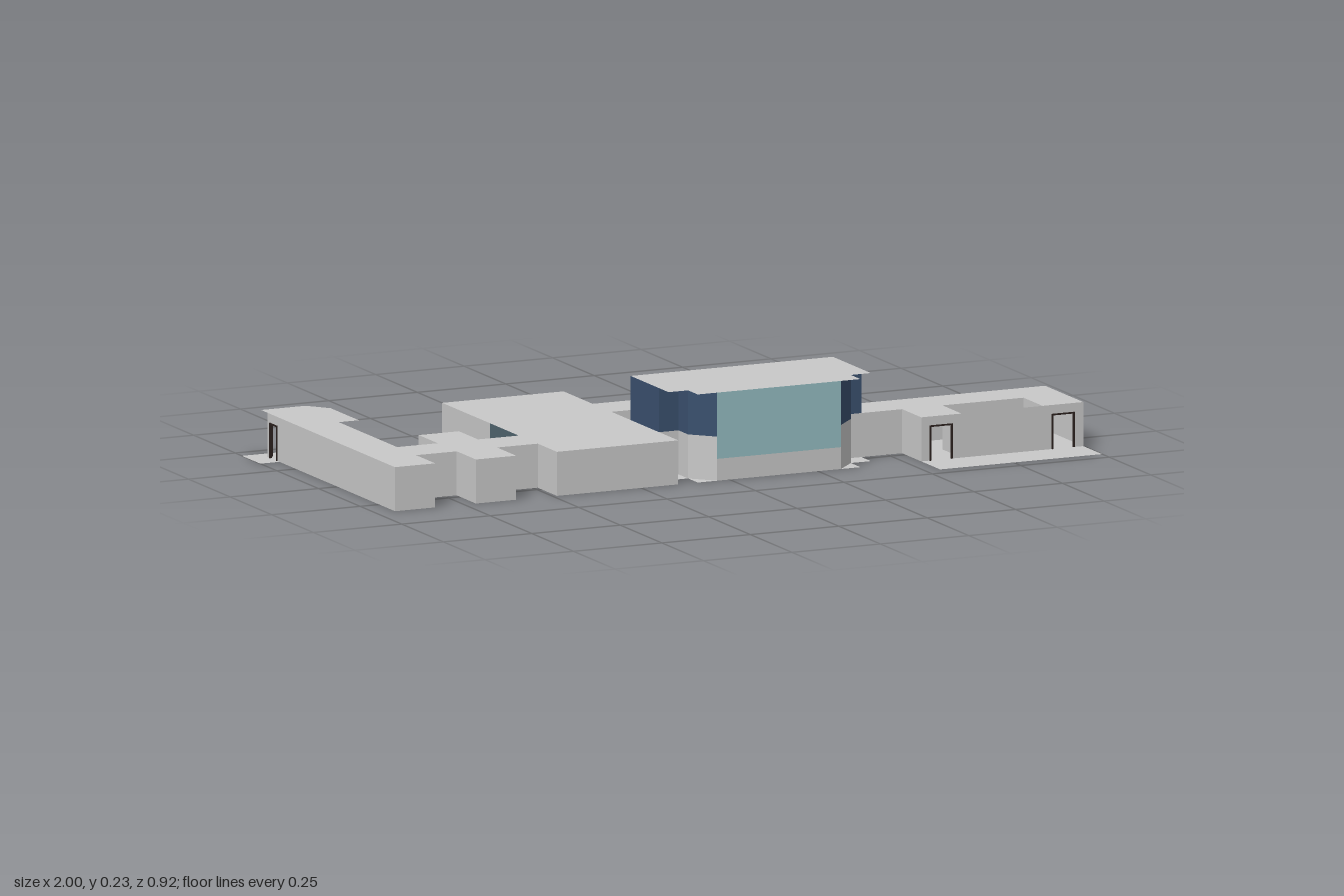
import * as THREE from 'three';

const mat = (name, color) => {
  const m = new THREE.MeshStandardMaterial({ color, side: THREE.DoubleSide });
  m.name = name;
  return m;
};

export function createModel() {
  const model = new THREE.Group();
  model.name = 'buildingComplex';
  const concrete = mat('light grey concrete', 0xc8c8c8);
  const navy = mat('navy cladding', 0x3a506e);
  const glass = mat('pale teal glass', 0x94bcc1);
  const darkGlass = mat('dark slate glass', 0x4f646e);
  const darkFloor = mat('dark floor', 0x837e76);
  const frameDark = mat('dark door frame', 0x2b211e);

  const H = 0.115, TOP = 0.23, DOOR = 0.092;

  // Vertical wall sheets along a path of [x, z]; doors = { segment: [[from, to], ...] }
  function walls(name, path, y0, y1, material, doors = {}) {
    const group = new THREE.Group();
    group.name = name;
    for (let i = 0; i < path.length - 1; i++) {
      const [ax, az] = path[i], [bx, bz] = path[i + 1];
      const len = Math.hypot(bx - ax, bz - az);
      const part = new THREE.Group();
      part.name = name + 'Section';
      part.position.set(ax, 0, az);
      part.rotation.y = -Math.atan2(bz - az, bx - ax);

      // outline runs round each doorway
      const s = new THREE.Shape();
      s.moveTo(0, y0);
      for (const [d0, d1] of doors[i] || []) {
        s.lineTo(d0, y0);
        s.lineTo(d0, DOOR);
        s.lineTo(d1, DOOR);
        s.lineTo(d1, y0);
        // door frame: two jambs and a head
        const t = 0.004;
        const bars = [
          [d0 + t / 2, DOOR / 2, t, DOOR],
          [d1 - t / 2, DOOR / 2, t, DOOR],
          [(d0 + d1) / 2, DOOR - t / 2, d1 - d0, t],
        ];
        for (const [x, y, w, h] of bars) {
          const bar = new THREE.Mesh(new THREE.BoxGeometry(w, h, 0.006), frameDark);
          bar.name = 'doorFrame';
          bar.position.set(x, y, 0);
          part.add(bar);
        }
      }
      s.lineTo(len, y0);
      s.lineTo(len, y1);
      s.lineTo(0, y1);
      const sheet = new THREE.Mesh(new THREE.ShapeGeometry(s), material);
      sheet.name = name + 'Panel';
      part.add(sheet);
      group.add(part);
    }
    model.add(group);
  }

  // Horizontal sheet from an [x, z] outline
  function sheet(name, outline, y, material = concrete) {
    const shape = new THREE.Shape(outline.map(([x, z]) => new THREE.Vector2(x, -z)));
    const m = new THREE.Mesh(new THREE.ShapeGeometry(shape).rotateX(-Math.PI / 2), material);
    m.name = name;
    m.position.y = y;
    model.add(m);
  }
  const rect = (x0, x1, z0, z1) => [[x0, z1], [x1, z1], [x1, z0], [x0, z0]];

  // Single-storey rooms: floor and flat roof over each rectangle
  const rooms = [
    ['westWing', -0.946, -0.832, -0.345, 0.344],
    ['westCorridor', -0.832, -0.488, 0.115, 0.229],
    ['bayBack', -0.717, -0.603, 0, 0.115],
    ['bayFront', -0.717, -0.603, 0.229, 0.344],
    ['mainBlockBack', -0.488, -0.145, -0.345, 0.115, darkFloor],
    ['mainBlockFront', -0.488, -0.145, 0.115, 0.344],
    ['rearPassage', -0.145, 0.2, -0.17, -0.057],
    ['rearLink', 0.085, 0.2, -0.057, 0.0575],
    ['eastCorridor', 0.427, 1, 0.115, 0.229],
    ['eastRoomInner', 0.542, 0.656, 0.229, 0.344],
    ['eastRoomOuter', 0.885, 1, 0.229, 0.344],
  ];
  for (const [name, x0, x1, z0, z1, floor = concrete] of rooms) {
    sheet(name + 'Roof', rect(x0, x1, z0, z1), H);
    sheet(name + 'Floor', rect(x0, x1, z0, z1), 0, floor);
  }

  // Entrance lobby canopy and paving
  sheet('lobbyCanopy', [[-0.946, -0.46], [-0.82, -0.46], [-0.775, -0.405],
    [-0.775, -0.235], [-0.832, -0.235], [-0.832, -0.345], [-0.946, -0.345]], H);
  sheet('lobbyFloor', rect(-0.946, -0.832, -0.46, -0.345), 0);
  sheet('lobbyPavingOuter', rect(-1, -0.946, -0.46, -0.35), 0);
  sheet('lobbyPavingInner', rect(-0.832, -0.717, -0.46, -0.235), 0);
  sheet('frontPaving', rect(0.542, 1, 0.344, 0.457), 0);

  // Hall roof and floor share one notched outline
  const hall = [[-0.145, 0.0575], [0.427, 0.0575], [0.427, 0.286], [0.37, 0.286],
    [0.37, 0.344], [-0.09, 0.344], [-0.09, 0.286], [-0.145, 0.286]];
  sheet('hallRoof', hall, TOP);
  sheet('hallFloor', hall, 0);

  // Lower walls, west side to the hall front
  walls('westWalls', [[-0.946, -0.345], [-0.946, 0.344], [-0.832, 0.344], [-0.832, 0.229],
    [-0.717, 0.229], [-0.717, 0.344], [-0.603, 0.344], [-0.603, 0.229], [-0.488, 0.229],
    [-0.488, 0.344], [-0.145, 0.344], [-0.145, 0.229], [-0.09, 0.229], [-0.09, 0.286],
    [-0.035, 0.344]], 0, H, concrete);

  // East walls with two front doors and one back door
  walls('eastWalls', [[0.315, 0.344], [0.37, 0.286], [0.37, 0.229], [0.542, 0.229],
    [0.542, 0.344], [1, 0.344], [1, 0.115], [0.427, 0.115], [0.427, 0.0575], [0.2, 0.0575],
    [0.2, -0.17], [-0.145, -0.17], [-0.145, -0.229]], 0, H, concrete,
  { 4: [[0.023, 0.088], [0.368, 0.433]], 6: [[0.198, 0.262]] });

  // Back walls of the main block, bay and west wing
  walls('mainBlockWalls', [[-0.375, -0.345], [-0.488, -0.345], [-0.488, -0.057]], 0, H, concrete);
  walls('westBackWalls', [[-0.488, 0.115], [-0.603, 0.115], [-0.603, 0], [-0.717, 0],
    [-0.717, 0.115], [-0.832, 0.115], [-0.832, -0.345]], 0, H, concrete);
  walls('lobbyWalls', [[-0.946, -0.345], [-0.946, -0.422], [-0.89, -0.422], [-0.832, -0.345]],
    0, H, concrete, { 0: [[0.015, 0.06]], 1: [[0.01, 0.046]], 2: [[0.021, 0.078]] });

  // Courtyards
  walls('eastCourtyardWalls', [[0.656, 0.344], [0.656, 0.229], [0.885, 0.229], [0.885, 0.344]],
    0, H, concrete);
  walls('rearCourtyardWalls', [[-0.145, 0.0575], [0.085, 0.0575], [0.085, -0.057],
    [-0.145, -0.057]], 0, H, concrete);

  // Ground-floor glazing
  walls('cornerGlazing', [[-0.145, -0.229], [-0.145, -0.345], [-0.375, -0.345]], 0, H, darkGlass);
  walls('westGlazing', [[-0.488, -0.057], [-0.488, 0.115]], 0, H, darkGlass);
  walls('courtyardGlazing', [[-0.145, -0.057], [-0.145, 0.0575]], 0, H, darkGlass);

  // Tall hall: plinth, big window and clad upper walls
  walls('hallPlinth', [[-0.035, 0.344], [0.315, 0.344]], 0, 0.057, concrete);
  walls('hallWindow', [[-0.035, 0.344], [0.315, 0.344]], 0.057, TOP, glass);
  walls('hallCladding', [[-0.035, 0.344], [-0.09, 0.286], [-0.09, 0.229], [-0.145, 0.229],
    [-0.145, 0.0575], [0.427, 0.0575], [0.427, 0.229], [0.37, 0.229], [0.37, 0.286],
    [0.315, 0.344]], H, TOP, navy);

  return model;
}
